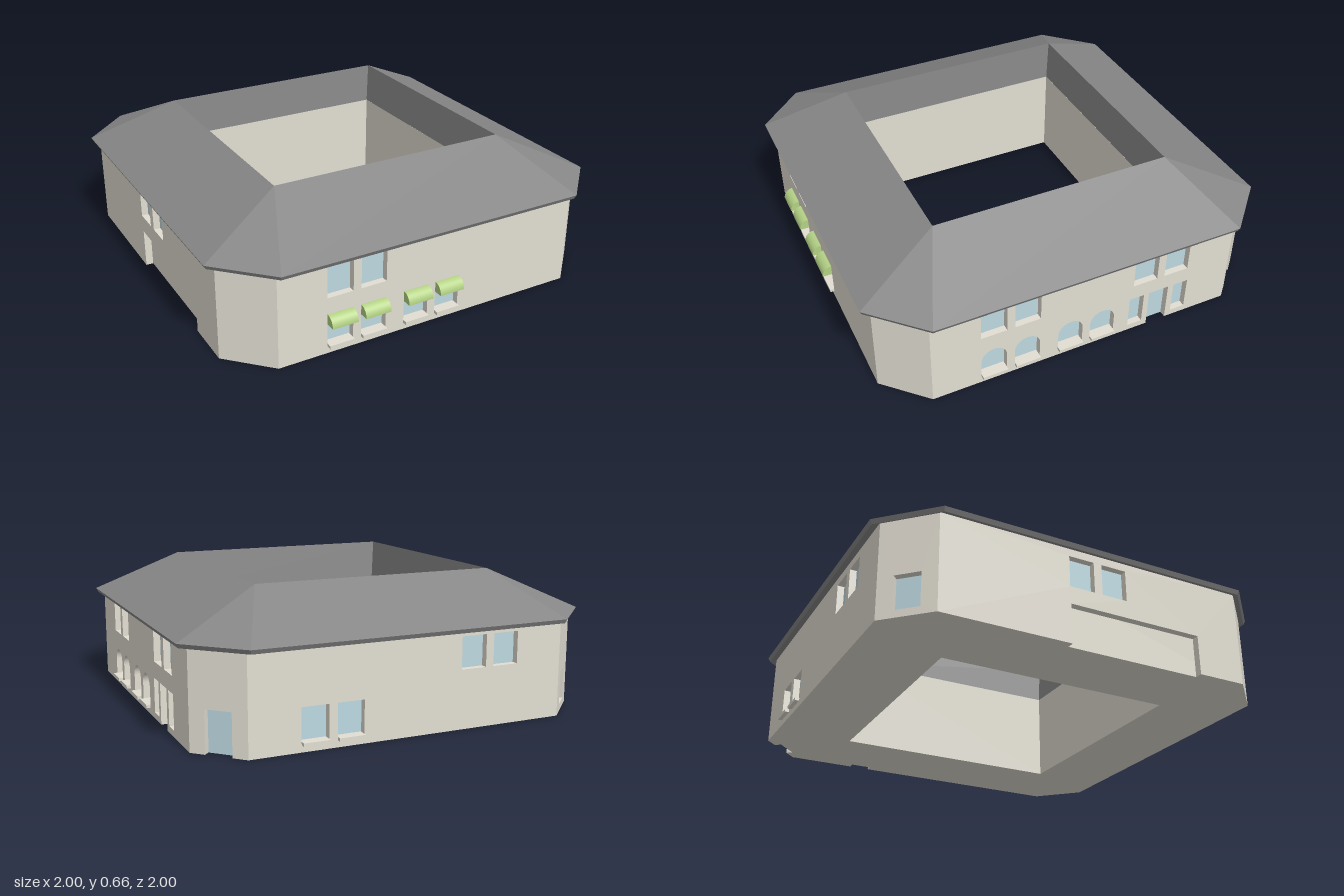
import * as THREE from 'three';

const mat = (color, side = THREE.FrontSide) => new THREE.MeshStandardMaterial({ color, side, flatShading: true });
const wallMat = mat(0xe2ded2), roofMat = mat(0x878787, THREE.DoubleSide);
const glassMat = mat(0xbcd8e0), awningMat = mat(0xb4d285);

const WALL_TOP = 0.465, DEPTH = 0.035, COURT = 0.575;

function add(parent, name, geometry, material) {
  const m = new THREE.Mesh(geometry, material);
  m.name = name;
  parent.add(m);
  return m;
}

// Octagon corners: flat sides at distance r, chamfers starting at c
const octagon = (r, c) => [[c, r], [r, c], [r, -c], [c, -r], [-c, -r], [-r, -c], [-r, c], [-c, r]];

// Outline of one opening (rectangle, or with a round head)
function openingShape(o, Type) {
  const s = new Type(), l = o.u - o.w / 2, r = o.u + o.w / 2;
  s.moveTo(l, o.y0);
  s.lineTo(r, o.y0);
  if (o.arch) {
    s.lineTo(r, o.y1 - o.w / 2);
    s.absarc(o.u, o.y1 - o.w / 2, o.w / 2, 0, Math.PI, false);
  } else {
    s.lineTo(r, o.y1);
    s.lineTo(l, o.y1);
  }
  s.closePath();
  return s;
}

// One outer wall with its openings, panes, sills and awnings
function makeWall(name, angle, distance, half, openings) {
  const side = new THREE.Group();
  side.name = name;
  side.rotation.y = angle;
  side.position.set(Math.sin(angle) * distance, 0, Math.cos(angle) * distance);

  // Openings that reach the ground are notches, the others holes
  const shape = new THREE.Shape();
  shape.moveTo(-half, 0);
  openings.filter(o => o.y0 === 0).sort((a, b) => a.u - b.u).forEach(o => {
    const l = o.u - o.w / 2, r = o.u + o.w / 2;
    [[l, 0], [l, o.y1], [r, o.y1], [r, 0]].forEach(p => shape.lineTo(...p));
  });
  shape.lineTo(half, 0);
  shape.lineTo(half, WALL_TOP);
  shape.lineTo(-half, WALL_TOP);
  shape.closePath();
  shape.holes = openings.filter(o => o.y0 > 0).map(o => openingShape(o, THREE.Path));
  const panel = new THREE.ExtrudeGeometry(shape, { depth: DEPTH, bevelEnabled: false, curveSegments: 16 });
  add(side, 'wallPanel', panel.translate(0, 0, -DEPTH), wallMat);

  for (const o of openings) {
    if (!o.blind) {
      const pane = new THREE.ShapeGeometry(openingShape(o, THREE.Shape), 16);
      add(side, o.y0 === 0 ? 'doorPane' : 'windowPane', pane, glassMat).position.z = -DEPTH + 0.003;
    }
    if (o.sill) {
      add(side, 'windowSill', new THREE.BoxGeometry(o.w - 0.004, 0.015, DEPTH + 0.02), wallMat)
        .position.set(o.u, o.y0 + 0.0075, (0.02 - DEPTH) / 2);
    }
    if (o.awning) {
      const q = new THREE.Shape();
      q.moveTo(0, 0);
      q.lineTo(0.046, 0);
      q.absellipse(0, 0, 0.046, 0.05, 0, Math.PI / 2, false, 0);
      q.closePath();
      const g = new THREE.ExtrudeGeometry(q, { depth: o.w, bevelEnabled: false, curveSegments: 8 });
      g.rotateY(-Math.PI / 2).translate(o.w / 2, 0, 0);
      add(side, 'awning', g, awningMat).position.set(o.u, 0.145, 0);
    }
  }
  return side;
}

// Hipped roof: rings of eight corners joined from soffit over eave and ridge to the courtyard
function roofGeometry() {
  const rings = [
    [0.93, 0.754, 0.473], [0.99, 0.761, 0.447], [1, 0.765, 0.467],
    [0.592, 0.592, 0.66], [COURT, COURT, 0.455],
  ].map(([r, c, y]) => octagon(r, c).map(([x, z]) => [x, y, z]));
  const pos = [];
  for (let i = 0; i < rings.length - 1; i++) {
    for (let j = 0; j < 8; j++) {
      const k = (j + 1) % 8;
      const a = rings[i][j], b = rings[i][k], c = rings[i + 1][k], d = rings[i + 1][j];
      const same = (p, q) => p.every((v, n) => v === q[n]);
      if (!same(a, b)) pos.push(...a, ...b, ...c);
      if (!same(c, d)) pos.push(...a, ...c, ...d);
    }
  }
  const g = new THREE.BufferGeometry();
  g.setAttribute('position', new THREE.Float32BufferAttribute(pos, 3));
  g.computeVertexNormals();
  return g;
}

export function createModel() {
  const model = new THREE.Group();
  model.name = 'courtyardBuilding';

  // Inner core: floor underside, courtyard walls and the back of every recess
  const core = new THREE.Shape(octagon(0.955 - DEPTH, 0.7505).map(p => new THREE.Vector2(...p)));
  const C = COURT;
  core.holes.push(new THREE.Path([[-C, -C], [C, -C], [C, C], [-C, C]].map(p => new THREE.Vector2(...p))));
  const coreGeo = new THREE.ExtrudeGeometry(core, { depth: 0.458, bevelEnabled: false });
  add(model, 'courtyardCore', coreGeo.rotateX(-Math.PI / 2), wallMat);

  // Window kinds, placed by their centre along the wall
  const W = 0.126;
  const upper = u => ({ u, w: W, y0: 0.275, y1: 0.425 });
  const lower = u => ({ u, w: W, y0: 0.03, y1: 0.195, sill: true });
  const shaded = u => ({ ...lower(u), awning: true });
  const arched = u => ({ u, w: W, y0: 0.03, y1: 0.185, arch: true, sill: true });
  const narrow = u => ({ u, w: 0.076, y0: 0.03, y1: 0.195 });
  const door = (u, w) => ({ u, w, y0: 0, y1: 0.195 });

  const D = 0.955, H = 0.765, PI = Math.PI;
  const cornerD = (D + H) / Math.SQRT2, cornerH = (D - H) / Math.SQRT2;
  const far = 0.467, near = 0.302, mid = 0.083;

  model.add(
    makeWall('frontWall', 0, D, H, [...[-far, -near].map(upper), ...[-far, -near, -mid, mid].map(shaded)]),
    makeWall('archedWall', PI / 2, D, H, [
      ...[-far, -near, near, far].map(upper),
      ...[-far, -near, -mid, mid].map(arched),
      narrow(0.264), door(0.382, 0.104), narrow(0.502),
    ]),
    makeWall('backWall', PI, D, H, [...[-far, -near].map(lower), ...[near, far].map(upper)]),
    makeWall('recessWall', -PI / 2, D, H, [
      ...[-mid, mid].map(upper),
      { u: 0.192, w: 0.67, y0: 0, y1: 0.19, blind: true },
    ]),
    makeWall('plainCornerLeft', PI / 4, cornerD, cornerH, []),
    makeWall('plainCornerRight', -PI / 4, cornerD, cornerH, []),
    makeWall('doorCorner', 3 * PI / 4, cornerD, cornerH, [door(0, 0.125)]),
    makeWall('windowCorner', -3 * PI / 4, cornerD, cornerH, [{ u: 0, w: 0.122, y0: 0.035, y1: 0.195 }]),
  );

  add(model, 'roof', roofGeometry(), roofMat);
  return model;
}
